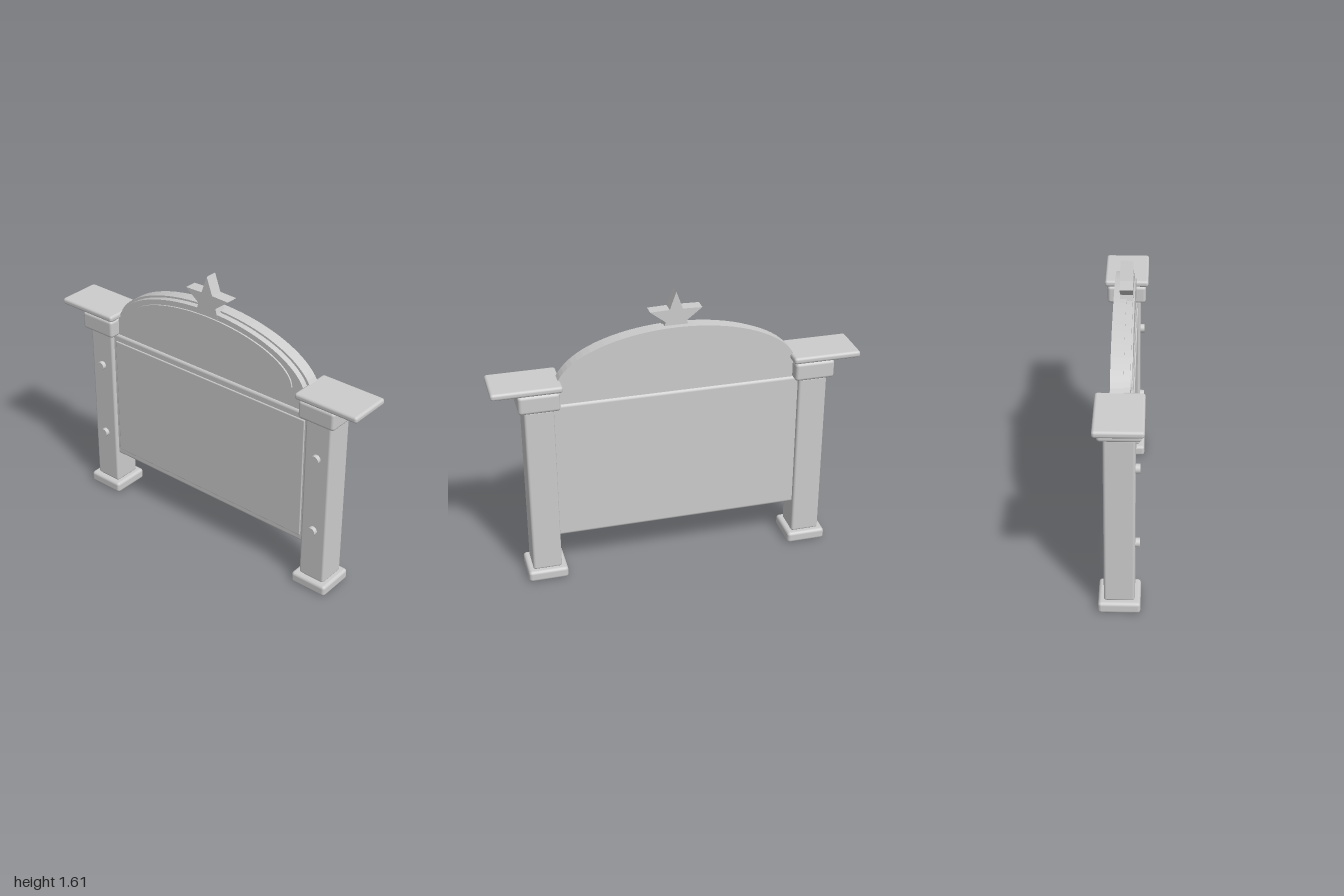
import * as THREE from 'three';
import { RoundedBoxGeometry } from 'three/addons/geometries/RoundedBoxGeometry.js';

export function createModel() {
  const model = new THREE.Group();
  model.name = 'signboard';
  const grey = new THREE.MeshStandardMaterial({ color: 0xcccccc });
  grey.name = 'light grey';

  function add(name, geometry, parent = model) {
    const mesh = new THREE.Mesh(geometry, grey);
    mesh.name = name;
    parent.add(mesh);
    return mesh;
  }

  // Soft-edged block given by its extents
  function block(name, [x0, x1], [y0, y1], [z0, z1], radius, parent) {
    const geo = new RoundedBoxGeometry(x1 - x0, y1 - y0, z1 - z0, 2, radius);
    geo.translate((x0 + x1) / 2, (y0 + y1) / 2, (z0 + z1) / 2);
    return add(name, geo, parent);
  }

  // Flat shape extruded from z0 to z1
  function slab(name, shape, z0, z1) {
    const geo = new THREE.ExtrudeGeometry(shape, { depth: z1 - z0, bevelEnabled: false });
    geo.translate(0, 0, z0);
    return add(name, geo);
  }

  // Half ellipse standing on straight sides
  function archShape(halfWidth, bottom, spring, top) {
    const points = [new THREE.Vector2(-halfWidth, bottom), new THREE.Vector2(halfWidth, bottom)];
    const steps = 40;
    for (let i = 0; i <= steps; i++) {
      const a = (i / steps) * Math.PI;
      points.push(new THREE.Vector2(halfWidth * Math.cos(a), spring + (top - spring) * Math.sin(a)));
    }
    if (spring === bottom) points.splice(0, 2);
    return new THREE.Shape(points);
  }

  // Posts with foot, capital, shelf and bolts
  for (const side of [1, -1]) {
    const post = new THREE.Group();
    post.name = side > 0 ? 'leftPost' : 'rightPost';
    model.add(post);
    const span = (a, b) => (side > 0 ? [a, b] : [-b, -a]);
    block('shaft', span(0.67, 0.83), [0.06, 1.045], [-0.08, 0.08], 0.014, post);
    block('foot', span(0.64, 0.86), [0, 0.065], [-0.11, 0.11], 0.018, post);
    block('capital', span(0.64, 0.86), [1.045, 1.15], [-0.11, 0.11], 0.018, post);
    block('neck', span(0.67, 0.83), [1.13, 1.17], [-0.09, 0.09], 0.005, post);
    block('shelf', span(0.625, 1), [1.155, 1.192], [-0.125, 0.125], 0.015, post);
    for (const y of [0.38, 0.83]) {
      const bolt = new THREE.CylinderGeometry(0.025, 0.025, 0.03, 16);
      bolt.rotateX(Math.PI / 2);
      bolt.translate(side * 0.75, y, 0.088);
      add('bolt', bolt, post);
    }
  }

  // Main board and its slightly raised face
  block('board', [-0.69, 0.69], [0.25, 1.055], [-0.06, 0.06], 0.018);
  block('boardFace', [-0.655, 0.655], [0.29, 1.012], [0.045, 0.066], 0.006);

  // Arched crest in three layers
  slab('crestBack', archShape(0.66, 1.04, 1.12, 1.42), -0.05, 0.016);
  slab('crestFront', archShape(0.642, 1.04, 1.12, 1.41), 0.016, 0.049);
  slab('crestInset', archShape(0.56, 1.165, 1.165, 1.38), 0.049, 0.058);

  // Five-pointed star on top
  const starPoints = [];
  for (let i = 0; i < 10; i++) {
    const r = i % 2 ? 0.06 : 0.147;
    const a = Math.PI / 2 + (i * Math.PI) / 5;
    starPoints.push(new THREE.Vector2(r * Math.cos(a), 1.458 + r * Math.sin(a)));
  }
  slab('star', new THREE.Shape(starPoints), -0.017, 0.05);

  return model;
}
